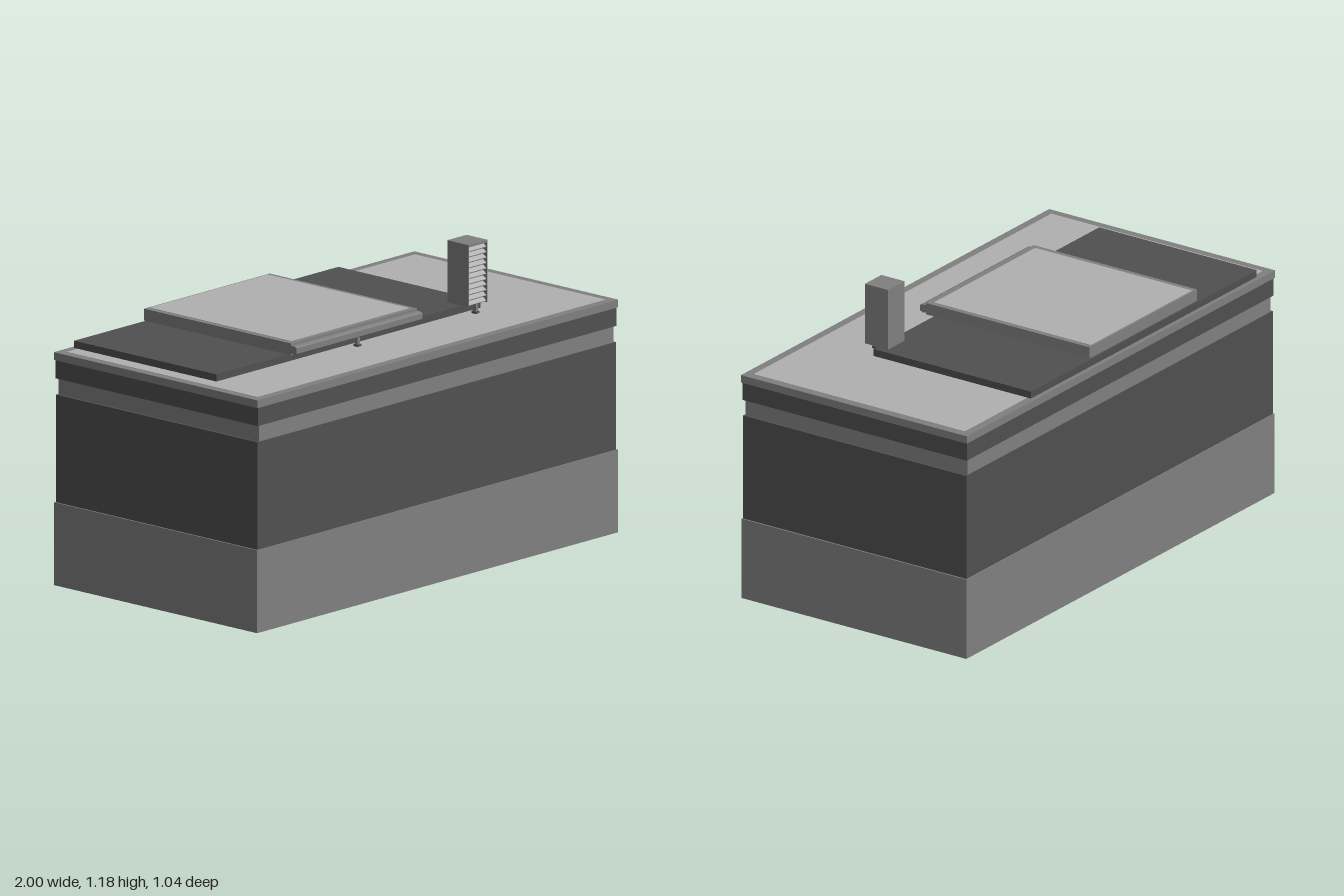
import * as THREE from 'three';

const paint = (color) => new THREE.MeshStandardMaterial({ color, side: THREE.DoubleSide });

export function createModel() {
  const model = new THREE.Group();
  const mid = paint(0x808080), dark = paint(0x505050), light = paint(0xb0b0b0);

  function add(name, geometry, material, parent = model) {
    const mesh = new THREE.Mesh(geometry, material);
    mesh.name = name;
    parent.add(mesh);
    return mesh;
  }

  // Box given by its limits on each axis
  function block(name, [x0, x1], [y0, y1], [z0, z1], material, parent) {
    const mesh = add(name, new THREE.BoxGeometry(x1 - x0, y1 - y0, z1 - z0), material, parent);
    mesh.position.set((x0 + x1) / 2, (y0 + y1) / 2, (z0 + z1) / 2);
    return mesh;
  }

  const rectangle = (PathType, x, z) => new PathType([[-x, -z], [x, -z], [x, z], [-x, z]]
    .map(([a, b]) => new THREE.Vector2(a, b)));

  // Hollow rectangular storey, open above and below
  function ring(name, x, z, y0, y1, thickness, material) {
    const shape = rectangle(THREE.Shape, x, z);
    shape.holes.push(rectangle(THREE.Path, x - thickness, z - thickness));
    const geometry = new THREE.ExtrudeGeometry(shape, { depth: y1 - y0, bevelEnabled: false });
    geometry.rotateX(-Math.PI / 2).translate(0, y0, 0);
    add(name, geometry, material);
  }

  // Building storeys
  ring('baseWalls', 1, 0.518, 0, 0.322, 0.012, mid);
  ring('mainWalls', 0.994, 0.514, 0.322, 0.74, 0.012, dark);
  ring('recessedBand', 0.983, 0.511, 0.74, 0.803, 0.012, mid);
  ring('upperWalls', 0.994, 0.516, 0.803, 0.875, 0.012, dark);
  ring('roofEdge', 1, 0.52, 0.875, 0.905, 0.036, mid);
  block('roof', [-0.966, 0.966], [0.885, 0.906], [-0.486, 0.486], light);

  // Dark platform on the roof
  block('platform', [-0.905, 0.56], [0.906, 0.934], [-0.503, 0.222], dark);

  // Raised canopy with a light top and a louvred front
  const canopy = new THREE.Group();
  canopy.name = 'canopy';
  model.add(canopy);
  block('canopyBody', [-0.522, 0.176], [0.938, 0.984], [-0.5, 0.252], mid, canopy);
  block('canopyTop', [-0.5, 0.157], [0.975, 0.9855], [-0.492, 0.23], light, canopy);
  const lip = new THREE.Shape([[0.252, 0.945], [0.268, 0.942], [0.28, 0.948], [0.28, 0.97], [0.268, 0.975], [0.252, 0.975]]
    .map(([z, y]) => new THREE.Vector2(-z, y)));
  const lipGeometry = new THREE.ExtrudeGeometry(lip, { depth: 0.698, bevelEnabled: false });
  lipGeometry.rotateY(Math.PI / 2).translate(-0.522, 0, 0);
  add('canopyFrontLip', lipGeometry, mid, canopy);

  // Louvred tower
  const tower = new THREE.Group();
  tower.name = 'tower';
  model.add(tower);
  block('towerBody', [0.438, 0.545], [0.94, 1.18], [0.165, 0.25], mid, tower);
  block('towerCap', [0.438, 0.545], [1.172, 1.182], [0.165, 0.272], mid, tower);
  for (const x of [0.438, 0.541]) {
    block('towerSide', [x, x + 0.004], [0.94, 1.172], [0.25, 0.272], mid, tower);
  }
  for (let i = 0; i < 11; i++) {
    const y = 0.95 + i * 0.021;
    const slat = block('louvre', [0.442, 0.541], [y - 0.002, y + 0.002], [0.25, 0.27], light, tower);
    slat.rotation.x = 0.6;
  }

  // Small stands beneath the canopy lip and the tower
  for (const x of [-0.165, 0.49]) {
    block('standFoot', [x - 0.01, x + 0.01], [0.906, 0.914], [0.25, 0.272], dark);
    block('standPost', [x - 0.006, x + 0.006], [0.914, 0.945], [0.254, 0.268], mid);
  }

  return model;
}
